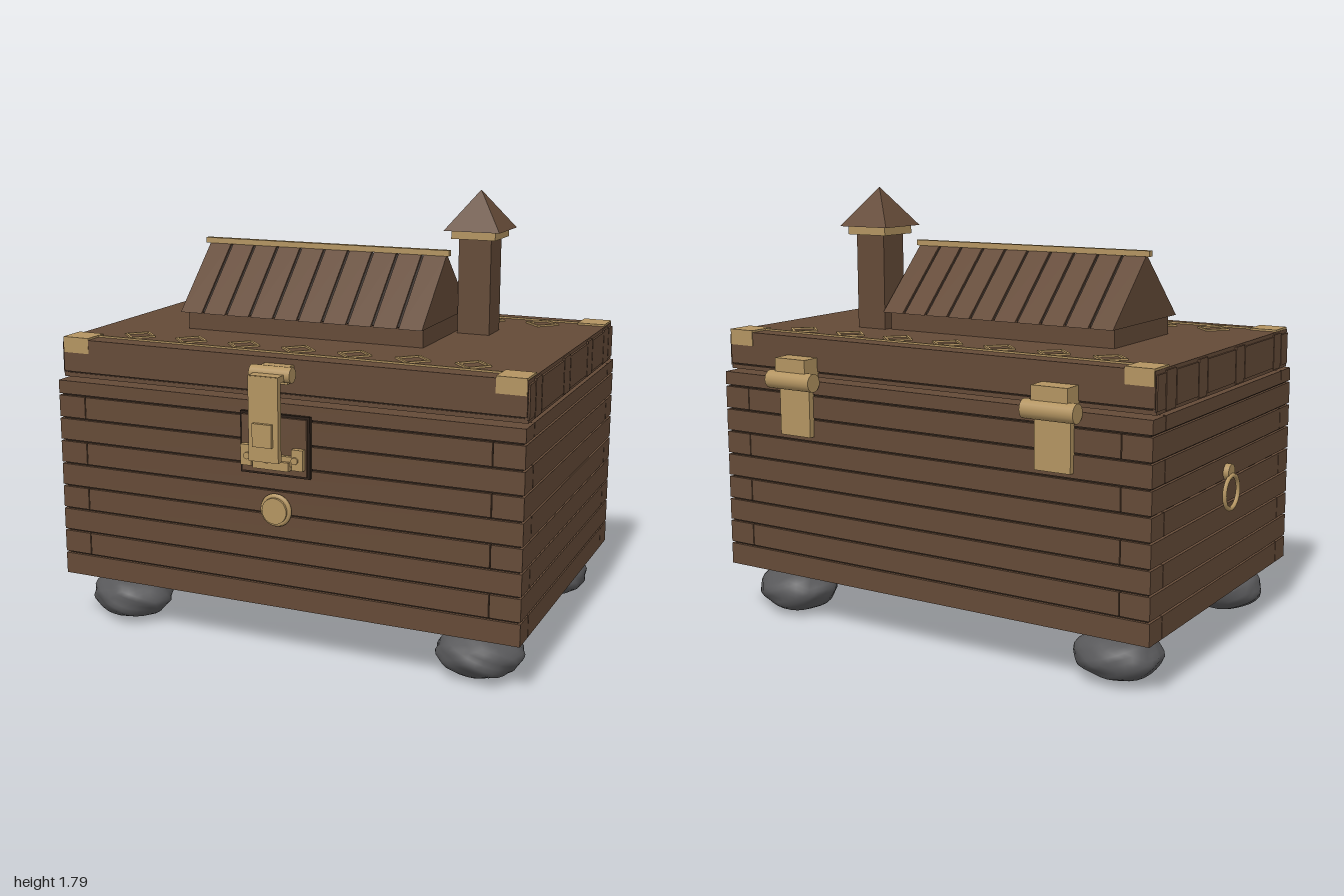
import * as THREE from 'three';
import { mergeVertices } from 'three/addons/utils/BufferGeometryUtils.js';

const CX = 0.015, CZ = -0.025; // centre of the chest body

export function createModel() {
  const mat = (name, color) => Object.assign(new THREE.MeshStandardMaterial({ color }), { name });
  const wood = mat('wood', 0x644a37);
  const dark = mat('darkGap', 0x2a1f17);
  const brass = mat('brass', 0xb39461);
  const stone = mat('stone', 0x58585a);

  const model = new THREE.Group();
  model.name = 'chest';
  let part = model;
  const group = (name) => {
    part = new THREE.Group();
    part.name = name;
    model.add(part);
    return part;
  };
  const add = (name, geometry, material, x = 0, y = 0, z = 0) => {
    const mesh = new THREE.Mesh(geometry, material);
    mesh.name = name;
    mesh.position.set(x, y, z);
    part.add(mesh);
    return mesh;
  };
  // Box given by its limits on each axis
  const box = (name, material, x0, x1, y0, y1, z0, z1) =>
    add(name, new THREE.BoxGeometry(x1 - x0, y1 - y0, z1 - z0), material,
      (x0 + x1) / 2, (y0 + y1) / 2, (z0 + z1) / 2);
  const rod = (name, material, r, length, x, y, z, axis, sides = 20) => {
    const g = new THREE.CylinderGeometry(r, r, length, sides);
    if (axis === 'x') g.rotateZ(Math.PI / 2);
    if (axis === 'z') g.rotateX(Math.PI / 2);
    return add(name, g, material, x, y, z);
  };

  // Body: interlocking plank courses around a dark core
  group('body');
  const X0 = -0.967, X1 = 0.997, Z0 = -0.68, Z1 = 0.63, T = 0.1, gap = 0.004;
  box('core', dark, X0 + 0.012, X1 - 0.012, 0.222, 1.035, Z0 + 0.012, Z1 - 0.012);
  box('floor', wood, -0.88, 0.91, 0.185, 0.225, -0.58, 0.53);
  const levels = [0.22, 0.312, 0.41, 0.505, 0.602, 0.698, 0.795, 0.89, 0.987, 1.045];
  for (let i = 0; i < levels.length - 1; i++) {
    const y0 = levels[i] + (i ? gap : 0), y1 = levels[i + 1] - (i < 8 ? gap : 0);
    const long = i % 2 === 0; // front and back planks run to the corners
    const dx = long ? 0 : T + 0.02 + gap, dz = long ? T + gap : 0;
    for (const [a, b] of [[Z1 - T, Z1], [Z0, Z0 + T]])
      box('longPlank', wood, X0 + dx, X1 - dx, y0, y1, a, b);
    for (const [a, b] of [[X1 - T - 0.02, X1], [X0, X0 + T + 0.02]])
      box('endPlank', wood, a, b, y0, y1, Z0 + dz, Z1 - dz);
  }

  // Lid with a lower lip and end battens
  group('lid');
  box('lidSlab', wood, -0.958, 0.988, 1.078, 1.212, -0.65, 0.598);
  box('lidSeam', dark, -0.95, 0.98, 1.07, 1.08, -0.64, 0.588);
  box('lidLip', wood, -0.962, 0.992, 1.055, 1.072, -0.645, 0.592);
  const cuts = [-0.648, -0.575, -0.49, -0.3, -0.22, 0.045, 0.135, 0.44, 0.52, 0.595];
  for (const s of [-1, 1]) {
    const x = CX + s * 0.972;
    box('endSeam', dark, x - 0.004, x + 0.004, 1.065, 1.195, -0.645, 0.592);
    for (let i = 0; i < cuts.length - 1; i++) {
      const inset = i % 2 ? 0 : 0.008;
      box('endBatten', wood, x - 0.008, x + 0.009, 1.06 + inset, 1.205 - inset,
        cuts[i] + 0.003, cuts[i + 1] - 0.003);
    }
  }
  // Brass trim lines, lozenges and corner caps on the lid
  for (const z of [-0.565, 0.515])
    box('trimLine', brass, -0.84, 0.87, 1.21, 1.219, z - 0.005, z + 0.005);
  const lozengeShape = new THREE.Shape();
  const trace = (path, r) => path.moveTo(r, 0).lineTo(0, r).lineTo(-r, 0).lineTo(0, -r).closePath();
  trace(lozengeShape, 0.072);
  lozengeShape.holes.push(trace(new THREE.Path(), 0.058));
  const lozenge = new THREE.ExtrudeGeometry(lozengeShape, { depth: 0.008, bevelEnabled: false });
  lozenge.rotateX(-Math.PI / 2);
  for (const z of [-0.49, 0.43])
    for (let i = -3; i <= 3; i++) add('lozenge', lozenge, brass, CX + i * 0.238, 1.211, z);
  for (const sx of [-1, 1])
    for (const sz of [-1, 1])
      add('cornerCap', new THREE.BoxGeometry(0.116, 0.064, 0.116), brass,
        CX + sx * 0.913, 1.188, CZ - 0.002 + sz * 0.568);

  // Little house: base, planked gable roof and ridge
  group('house');
  const RZ = -0.035;
  box('houseBase', wood, -0.6, 0.445, 1.21, 1.295, -0.27, 0.2);
  const gable = (half, height, length) => {
    const s = new THREE.Shape().moveTo(-half, 0).lineTo(half, 0).lineTo(0, height).closePath();
    return new THREE.ExtrudeGeometry(s, { depth: length, bevelEnabled: false }).rotateY(Math.PI / 2);
  };
  add('roofCore', gable(0.262, 0.25, 1.06), dark, -0.61, 1.292, RZ);
  const step = 1.08 / 10;
  const slice = gable(0.277, 0.265, step - 0.011);
  for (let i = 0; i < 10; i++) add('roofPlank', slice, wood, -0.62 + i * step + 0.0055, 1.287, RZ);
  box('ridge', brass, -0.633, 0.467, 1.545, 1.568, RZ - 0.013, RZ + 0.013);

  // Chimney
  group('chimney');
  box('shaft', wood, 0.463, 0.6, 1.21, 1.61, -0.29, -0.154);
  box('collar', brass, 0.438, 0.624, 1.602, 1.637, -0.315, -0.129);
  const cap = new THREE.ConeGeometry(0.118 * Math.SQRT2, 0.16, 4).rotateY(Math.PI / 4).toNonIndexed();
  cap.computeVertexNormals();
  add('cap', cap, wood, 0.531, 1.716, -0.222);

  // Hasp and its plate
  group('hasp');
  box('plateEdge', dark, -0.132, 0.162, 0.762, 1.005, 0.62, 0.645);
  box('plate', wood, -0.122, 0.152, 0.772, 0.995, 0.64, 0.655);
  rod('haspBarrel', brass, 0.03, 0.17, CX, 1.165, 0.662, 'x');
  box('barrelMount', brass, -0.045, 0.075, 1.125, 1.19, 0.59, 0.655);
  box('haspArm', brass, -0.047, 0.077, 1.145, 1.17, 0.66, 0.74);
  box('haspStrap', brass, -0.047, 0.077, 0.84, 1.168, 0.716, 0.742);
  box('strapPad', brass, -0.025, 0.055, 0.9, 0.99, 0.74, 0.757);
  box('stapleBar', brass, -0.115, 0.145, 0.812, 0.85, 0.65, 0.67);
  box('stapleFoot', brass, -0.06, 0.09, 0.795, 0.83, 0.65, 0.685);
  for (const s of [-1, 1]) {
    box('stapleLug', brass, CX + s * 0.108 - 0.023, CX + s * 0.108 + 0.023, 0.8, 0.882, 0.65, 0.678);
    rod('screw', brass, 0.014, 0.012, CX + s * 0.1, 0.84, 0.681, 'z', 12);
  }
  rod('staplePin', brass, 0.02, 0.06, CX, 0.85, 0.69, 'z');

  // Round boss on the front
  group('boss');
  rod('bossDisc', brass, 0.052, 0.035, CX, 0.622, 0.642, 'z', 28);
  add('bossRim', new THREE.TorusGeometry(0.055, 0.011, 8, 28), brass, CX, 0.622, 0.64);

  // Ring pull on one end
  group('ringPull');
  rod('ringMount', brass, 0.032, 0.025, -0.977, 0.73, CZ, 'x');
  add('ring', new THREE.TorusGeometry(0.066, 0.009, 8, 28).rotateY(Math.PI / 2), brass, -0.99, 0.65, CZ);

  // Back hinges
  for (const x of [-0.58, 0.61]) {
    group('hinge');
    box('upperLeaf', brass, x - 0.075, x + 0.075, 1.055, 1.135, -0.73, -0.64);
    rod('hingeBarrel', brass, 0.037, 0.22, x, 1.045, -0.718, 'x');
    box('lowerLeaf', brass, x - 0.075, x + 0.075, 0.818, 1.04, -0.705, -0.675);
  }

  // Stone feet, each lumpy in its own way
  group('feet');
  const lump = (seed) => {
    let g = new THREE.IcosahedronGeometry(1, 5);
    g.deleteAttribute('normal');
    g.deleteAttribute('uv');
    g = mergeVertices(g, 1e-4);
    const p = g.attributes.position, v = new THREE.Vector3();
    for (let i = 0; i < p.count; i++) {
      v.fromBufferAttribute(p, i);
      const n = Math.sin(v.x * 4 + seed) * Math.cos(v.z * 5 + seed * 2)
        + 0.7 * Math.sin(v.y * 7 + v.x * 6 + seed * 3) + 0.5 * Math.sin(v.z * 11 - v.y * 9 + seed);
      v.multiplyScalar(0.97 + 0.035 * n);
      p.setXYZ(i, v.x * 0.177, v.y * 0.1, v.z * 0.152);
    }
    g.computeVertexNormals();
    return g;
  };
  [[-0.757, 0.455], [0.788, 0.455], [-0.757, -0.505], [0.788, -0.505]].forEach(([x, z], i) =>
    add('stoneFoot', lump(i * 1.7 + 1), stone, x, 0.105, z));

  return model;
}
